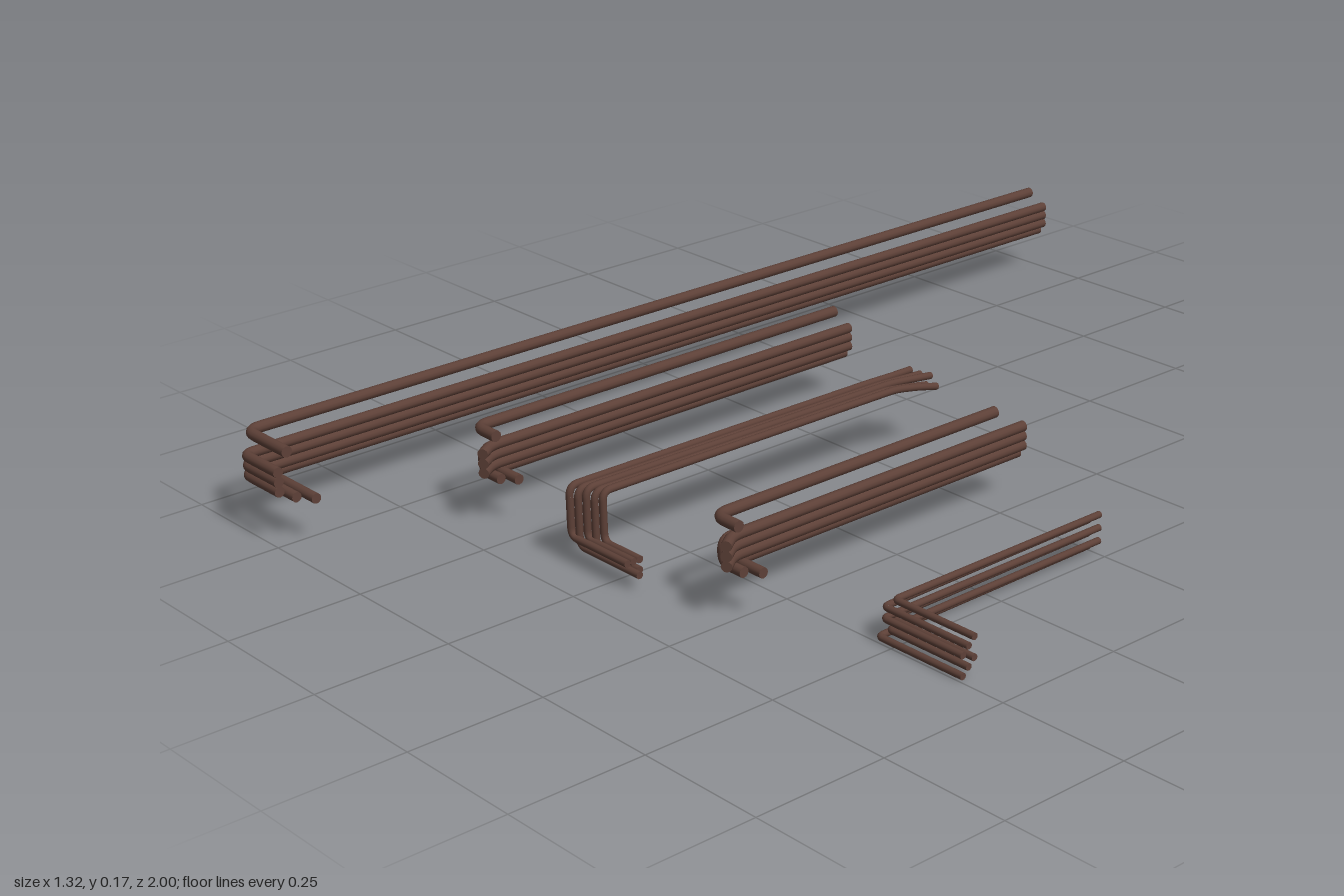
import * as THREE from 'three';
import { mergeGeometries } from 'three/addons/utils/BufferGeometryUtils.js';

const V = (p) => new THREE.Vector3(...p);

// End disc of a pipe, facing along dir
function cap(at, dir, r) {
  const g = new THREE.CircleGeometry(r, 12);
  g.applyQuaternion(new THREE.Quaternion().setFromUnitVectors(new THREE.Vector3(0, 0, 1), dir));
  return g.translate(at.x, at.y, at.z);
}

// Pipe through corner points, each corner rounded by the bend length
function pipeGeometry(corners, r, bend) {
  const p = corners.map(V);
  const last = p.length - 1;
  const parts = [];
  let from = p[0];
  for (let i = 1; i <= last; i++) {
    if (i === last) {
      parts.push(new THREE.TubeGeometry(new THREE.LineCurve3(from, p[i]), 1, r, 12));
      break;
    }
    const a = p[i - 1].clone().sub(p[i]);
    const b = p[i + 1].clone().sub(p[i]);
    const d = Math.min(bend, a.length() * 0.45, b.length() * 0.45);
    const enter = p[i].clone().add(a.setLength(d));
    const leave = p[i].clone().add(b.setLength(d));
    parts.push(new THREE.TubeGeometry(new THREE.LineCurve3(from, enter), 1, r, 12));
    parts.push(new THREE.TubeGeometry(new THREE.QuadraticBezierCurve3(enter, p[i], leave), 6, r, 12));
    from = leave;
  }
  parts.push(cap(p[0], p[0].clone().sub(p[1]).normalize(), r));
  parts.push(cap(p[last], p[last].clone().sub(p[last - 1]).normalize(), r));
  return mergeGeometries(parts);
}

export function createModel() {
  const root = new THREE.Group();
  root.name = 'pipeBundles';
  const brown = new THREE.MeshStandardMaterial({ color: 0x5d4037 });
  brown.name = 'rustBrown';

  const bundle = (name) => {
    const g = new THREE.Group();
    g.name = name;
    root.add(g);
    return g;
  };
  const pipe = (group, name, corners, r, bend) => {
    const m = new THREE.Mesh(pipeGeometry(corners, r, bend), brown);
    m.name = name;
    group.add(m);
  };

  // Large bundles: an upper pipe, a stack of three, a dropping pipe and a lower pipe
  const large = [
    { name: 'longBundle', x: -0.65, back: -1, front: 0.955, ends: [-0.52, -0.5, -0.47], slant: false, shift: 0 },
    { name: 'middleBundle', x: -0.39, back: -0.19, front: 0.655, ends: [-0.33, -0.322, -0.297], slant: true, shift: 0 },
    { name: 'shortBundle', x: 0.185, back: -0.05, front: 0.595, ends: [0.245, 0.255, 0.28], slant: true, shift: -0.03 },
  ];
  for (const { name, x, back, front, ends, slant, shift } of large) {
    const g = bundle(name);
    const sx = x + 0.041;
    pipe(g, 'upperPipe', [[x, 0.16, back], [x, 0.16, front], [ends[0], 0.16, front]], 0.0105, 0.03);
    for (let i = 0; i < 3; i++) {
      const y = 0.101 + i * 0.018;
      const path = slant
        ? [[sx, y, back + shift], [sx, y, front], [ends[1] - 0.004, y, front + 0.033]]
        : [[sx, y, back], [sx, y, front + 0.032], [ends[1], y, front + 0.032]];
      pipe(g, 'stackedPipe', path, 0.0098, 0.02);
    }
    pipe(g, 'droppingPipe', [
      [x + 0.018, 0.124, back], [x + 0.018, 0.124, front],
      [x + 0.018, 0.082, front], [ends[1], 0.082, front],
    ], 0.0095, 0.02);
    pipe(g, 'lowerPipe', [
      [x + 0.028, 0.083, back + shift], [x + 0.028, 0.083, front - 0.02], [ends[2], 0.083, front - 0.02],
    ], 0.0095, 0.02);
  }

  // Flat bundle that drops at the front, then turns sideways
  const flat = bundle('droppingBundle');
  for (let i = 0; i < 5; i++) {
    const x = -0.112 + i * 0.0142;
    const y = 0.139 - (i % 2) * 0.003;
    const z = 0.665 - i * 0.0065;
    const low = i % 2 ? 0.031 : 0.046;
    const end = i % 2 ? 0.063 - (i - 1) * 0.008 : 0.04;
    const back = -0.12 - (i % 3) * 0.012;
    pipe(flat, 'thinPipe', [
      [x + 0.008, y - i * 0.005, back], [x + 0.008, y - i * 0.002, back + 0.05],
      [x + 0.005, y, back + 0.1], [x, y, z], [x, low, z], [end, low, z],
    ], 0.0068, 0.018);
  }

  // Low corner bundle of thin layered pipes
  const corner = bundle('cornerBundle');
  for (let i = 0; i < 6; i++) {
    const k = i % 2;
    const y = 0.007 + i * 0.0122;
    const x = 0.463 + k * 0.0115;
    const z = 0.492 - (i % 3) * 0.0125;
    pipe(corner, 'layeredPipe', [
      [x, y + 0.003 * (1 - k), k ? -0.012 : 0.003], [x, y, z], [0.655, y, z],
    ], 0.0062, 0.01);
  }

  return root;
}
